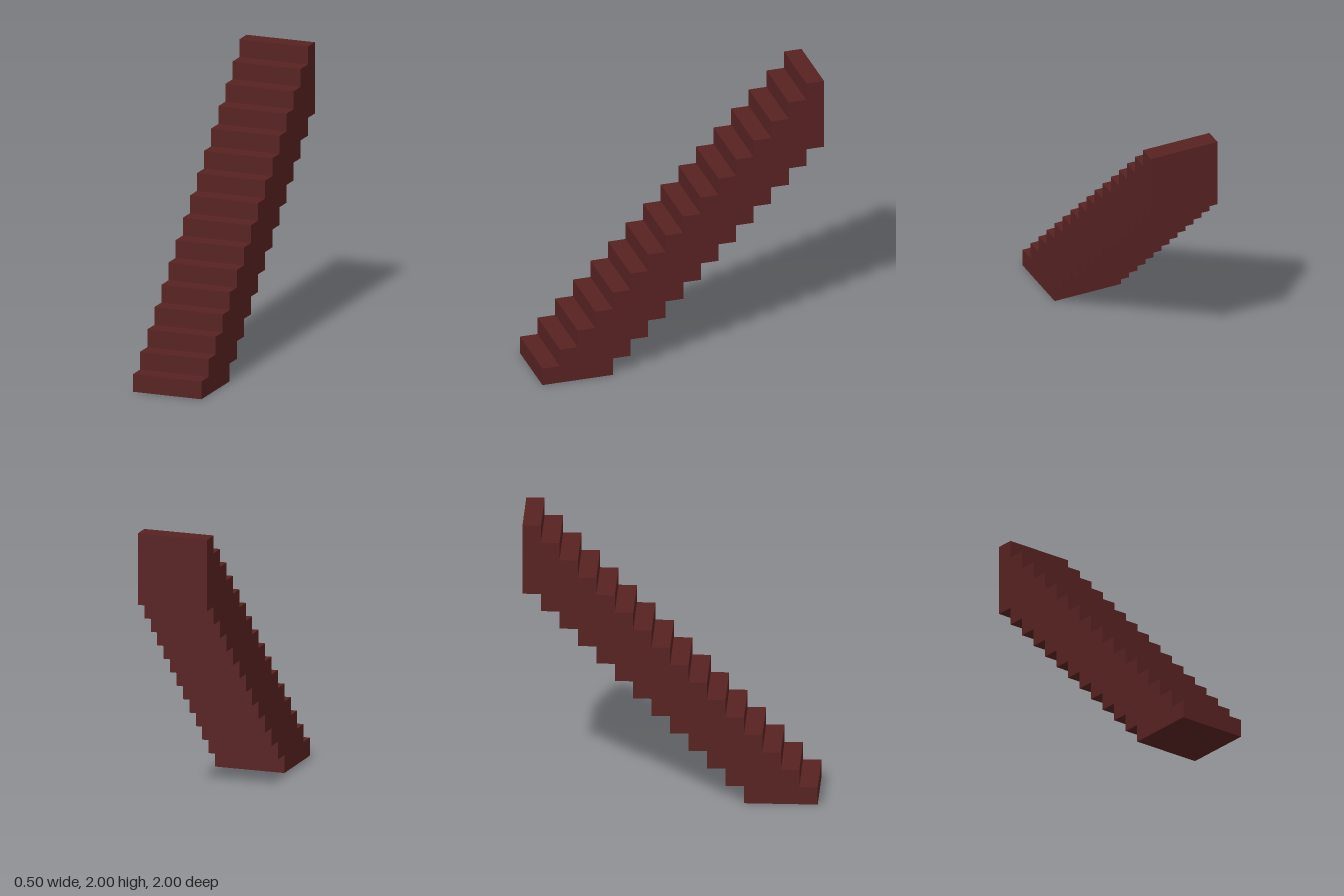
import * as THREE from 'three';

const STEPS = 16;
const RISE = 0.125;   // height and depth of one step
const DEPTH = 0.5;    // full depth of each step block
const WIDTH = 0.5;

export function createModel() {
  const group = new THREE.Group();
  group.name = 'staircase';

  const darkRed = new THREE.MeshStandardMaterial({ color: 0x582222 });
  darkRed.name = 'dark red';

  // Side outline, drawn with z along the shape's x axis
  const outline = new THREE.Shape();
  outline.moveTo(1, 0);

  // Treads and risers, going up the front
  for (let i = 0; i < STEPS; i++) {
    const z = 1 - i * RISE;
    const top = (i + 1) * RISE;
    outline.lineTo(z, top);
    outline.lineTo(z - RISE, top);
  }

  // Flat back wall, then the stepped underside going down
  const wallStep = (1 + 1 - DEPTH) / RISE;
  for (let i = wallStep; i > 0; i--) {
    const z = 1 - DEPTH - i * RISE;
    outline.lineTo(z, i * RISE);
    outline.lineTo(z + RISE, i * RISE);
  }
  outline.lineTo(1 - DEPTH, 0);
  outline.closePath();

  // Extrude across the width and turn it so the stairs face +z
  const geometry = new THREE.ExtrudeGeometry(outline, { depth: WIDTH, bevelEnabled: false });
  geometry.translate(0, 0, -WIDTH / 2);
  geometry.rotateY(-Math.PI / 2);

  const stairs = new THREE.Mesh(geometry, darkRed);
  stairs.name = 'stairFlight';
  group.add(stairs);
  return group;
}
